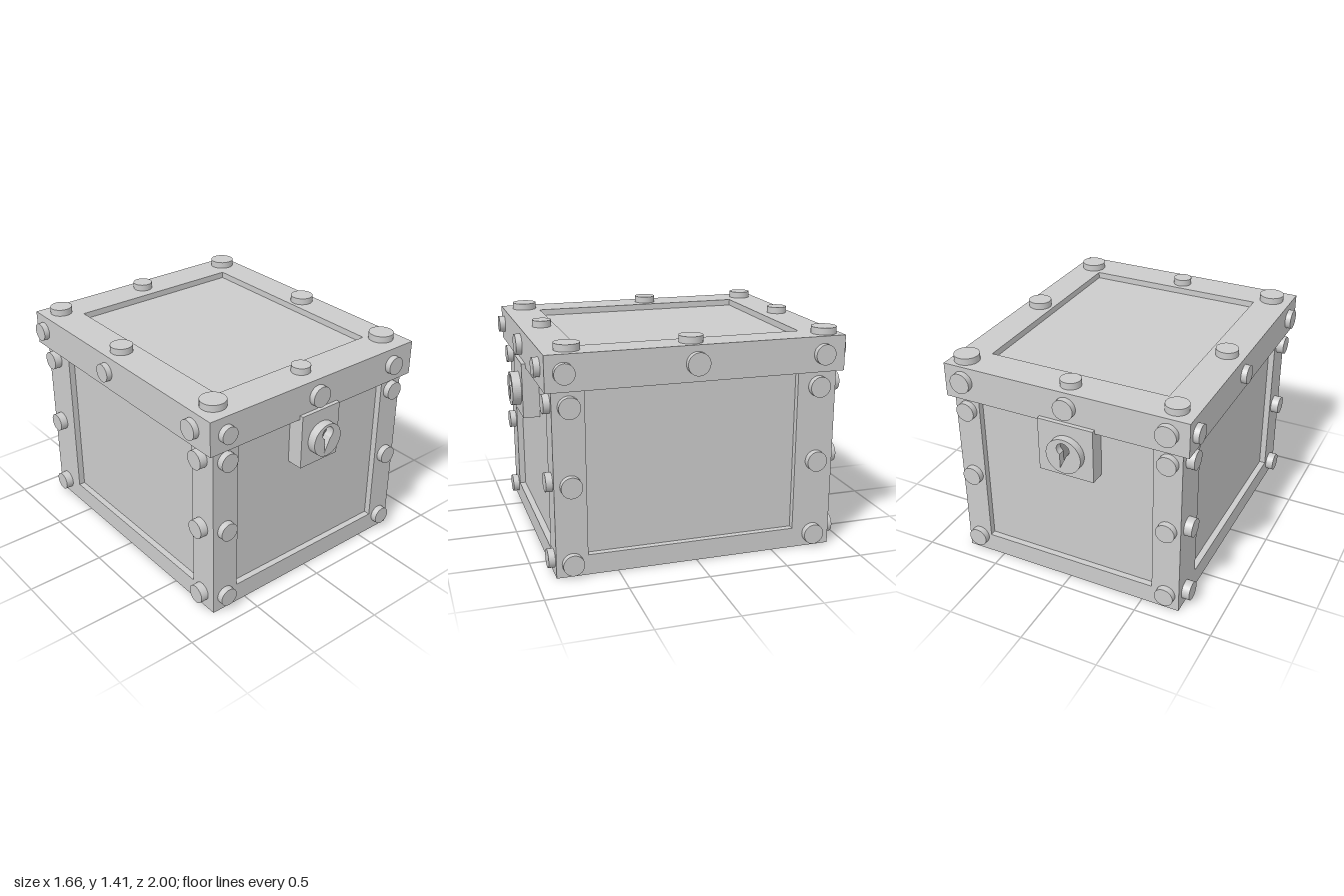
import * as THREE from 'three';

const grey = new THREE.MeshStandardMaterial({ color: 0xcccccc });
const dark = new THREE.MeshStandardMaterial({ color: 0x808080 });

// Box given by its lower and upper corners
function box(parent, name, [x0, y0, z0], [x1, y1, z1]) {
  const mesh = new THREE.Mesh(new THREE.BoxGeometry(x1 - x0, y1 - y0, z1 - z0), grey);
  mesh.name = name;
  mesh.position.set((x0 + x1) / 2, (y0 + y1) / 2, (z0 + z1) / 2);
  parent.add(mesh);
}

function rectangle(PathType, x0, y0, x1, y1) {
  return new PathType([[x0, y0], [x1, y0], [x1, y1], [x0, y1]].map(p => new THREE.Vector2(...p)));
}

// Round stud sitting on a surface point, pointing along the outward normal
function stud(parent, name, base, normal, radius, height) {
  const n = new THREE.Vector3(...normal), sunk = 0.02;
  const mesh = new THREE.Mesh(new THREE.CylinderGeometry(radius, radius, height + sunk, 32), grey);
  mesh.name = name;
  mesh.quaternion.setFromUnitVectors(new THREE.Vector3(0, 1, 0), n);
  mesh.position.set(...base).addScaledVector(n, (height - sunk) / 2);
  parent.add(mesh);
}

function keyholeOutline(PathType) {
  const w = 0.022, r = 0.042, cy = 0.047, a = Math.asin(w / r);
  const path = new PathType();
  path.moveTo(w, -0.08);
  path.absarc(0, cy, r, -Math.PI / 2 + a, 1.5 * Math.PI - a, false);
  path.lineTo(-w, -0.08);
  path.closePath();
  return path;
}

// Lock: square plate, round boss and a recessed keyhole, facing +z
function makeLock(name, x0, x1, plateZ, cx, radius) {
  const lock = new THREE.Group();
  lock.name = name;
  box(lock, 'lockPlate', [x0, 0.828, 0.82], [x1, 1.176, plateZ]);
  const disc = new THREE.Shape().absarc(0, 0, radius, 0, Math.PI * 2, false);
  disc.holes.push(keyholeOutline(THREE.Path));
  const boss = new THREE.Mesh(
    new THREE.ExtrudeGeometry(disc, { depth: 1 - plateZ, bevelEnabled: false, curveSegments: 24 }), grey);
  boss.name = 'lockBoss';
  boss.position.set(cx, 0.99, plateZ);
  const floor = new THREE.Mesh(new THREE.ShapeGeometry(keyholeOutline(THREE.Shape), 24), dark);
  floor.name = 'keyhole';
  floor.position.set(cx, 0.99, plateZ + 0.002);
  lock.add(boss, floor);
  return lock;
}

export function createModel() {
  const chest = new THREE.Group();
  chest.name = 'chest';

  // Body: inset panels, bottom rail and four corner posts
  const body = new THREE.Group();
  body.name = 'body';
  box(body, 'panels', [-0.705, 0.1, -0.85], [0.715, 1.16, 0.84]);
  box(body, 'bottomRail', [-0.745, 0, -0.89], [0.755, 0.128, 0.88]);
  for (const [x0, x1] of [[-0.745, -0.565], [0.59, 0.755]])
    for (const [z0, z1] of [[-0.89, -0.64], [0.685, 0.88]])
      box(body, 'cornerPost', [x0, 0.128, z0], [x1, 1.155, z1]);
  chest.add(body);

  // Lid: slab with a raised rim round a sunken panel
  const lid = new THREE.Group();
  lid.name = 'lid';
  box(lid, 'lidSlab', [-0.795, 1.15, -0.925], [0.79, 1.33, 0.92]);
  const rimShape = rectangle(THREE.Shape, -0.795, -0.92, 0.79, 0.925);
  rimShape.holes.push(rectangle(THREE.Path, -0.57, -0.69, 0.595, 0.7));
  const rim = new THREE.Mesh(new THREE.ExtrudeGeometry(rimShape, { depth: 0.04, bevelEnabled: false }), grey);
  rim.name = 'lidRim';
  rim.rotation.x = -Math.PI / 2;
  rim.position.y = 1.33;
  lid.add(rim);
  chest.add(lid);

  const studs = new THREE.Group();
  studs.name = 'studs';
  // Lid top studs: x, z, radius
  for (const [x, z, r] of [
    [-0.67, -0.815, 0.07], [-0.015, -0.825, 0.063], [0.69, -0.825, 0.078],
    [-0.68, -0.09, 0.07], [0.69, 0.03, 0.073],
    [-0.665, 0.78, 0.078], [-0.015, 0.78, 0.059], [0.675, 0.765, 0.077],
  ]) stud(studs, 'topStud', [x, 1.37, z], [0, 1, 0], r, 0.042);

  // Front and back studs: lid row, then body columns
  const frontBack = [
    { s: 1, lidZ: 0.92, bodyZ: 0.88, lid: [[-0.685, 0.054], [-0.003, 0.066], [0.62, 0.058]],
      lidY: 1.266, cols: [-0.655, 0.672], rows: [1.06, 0.585, 0.1], r: 0.058 },
    { s: -1, lidZ: -0.925, bodyZ: -0.89, lid: [[-0.665, 0.066], [-0.03, 0.066], [0.665, 0.066]],
      lidY: 1.275, cols: [-0.66, 0.67], rows: [1.06, 0.59, 0.105], r: 0.061 },
  ];
  for (const f of frontBack) {
    for (const [x, r] of f.lid) stud(studs, 'lidStud', [x, f.lidY, f.lidZ], [0, 0, f.s], r, 0.038);
    for (const x of f.cols) for (const y of f.rows)
      stud(studs, 'bodyStud', [x, y, f.bodyZ], [0, 0, f.s], f.r, 0.04);
  }

  // Left and right studs
  const sides = [
    { s: 1, lidX: 0.79, bodyX: 0.755, lid: [[0.81, 0.062], [0.02, 0.07], [-0.785, 0.064]],
      lidY: 1.262, cols: [0.78, -0.775], rows: [1.054, 0.575, 0.085], r: 0.065 },
    { s: -1, lidX: -0.795, bodyX: -0.745, lid: [[0.76, 0.062], [-0.09, 0.058], [-0.83, 0.058]],
      lidY: 1.265, cols: [0.77, -0.79], rows: [1.06, 0.585, 0.1], r: 0.059 },
  ];
  for (const f of sides) {
    for (const [z, r] of f.lid) stud(studs, 'lidStud', [f.lidX, f.lidY, z], [f.s, 0, 0], r, 0.036);
    for (const z of f.cols) for (const y of f.rows)
      stud(studs, 'bodyStud', [f.bodyX, y, z], [f.s, 0, 0], f.r, f.s > 0 ? 0.04 : 0.05);
  }
  chest.add(studs);

  // Locks on the front and the back
  chest.add(makeLock('frontLock', -0.14, 0.155, 0.945, 0.018, 0.106));
  const backLock = makeLock('backLock', -0.145, 0.215, 0.952, 0.045, 0.114);
  backLock.rotation.y = Math.PI;
  chest.add(backLock);

  return chest;
}
